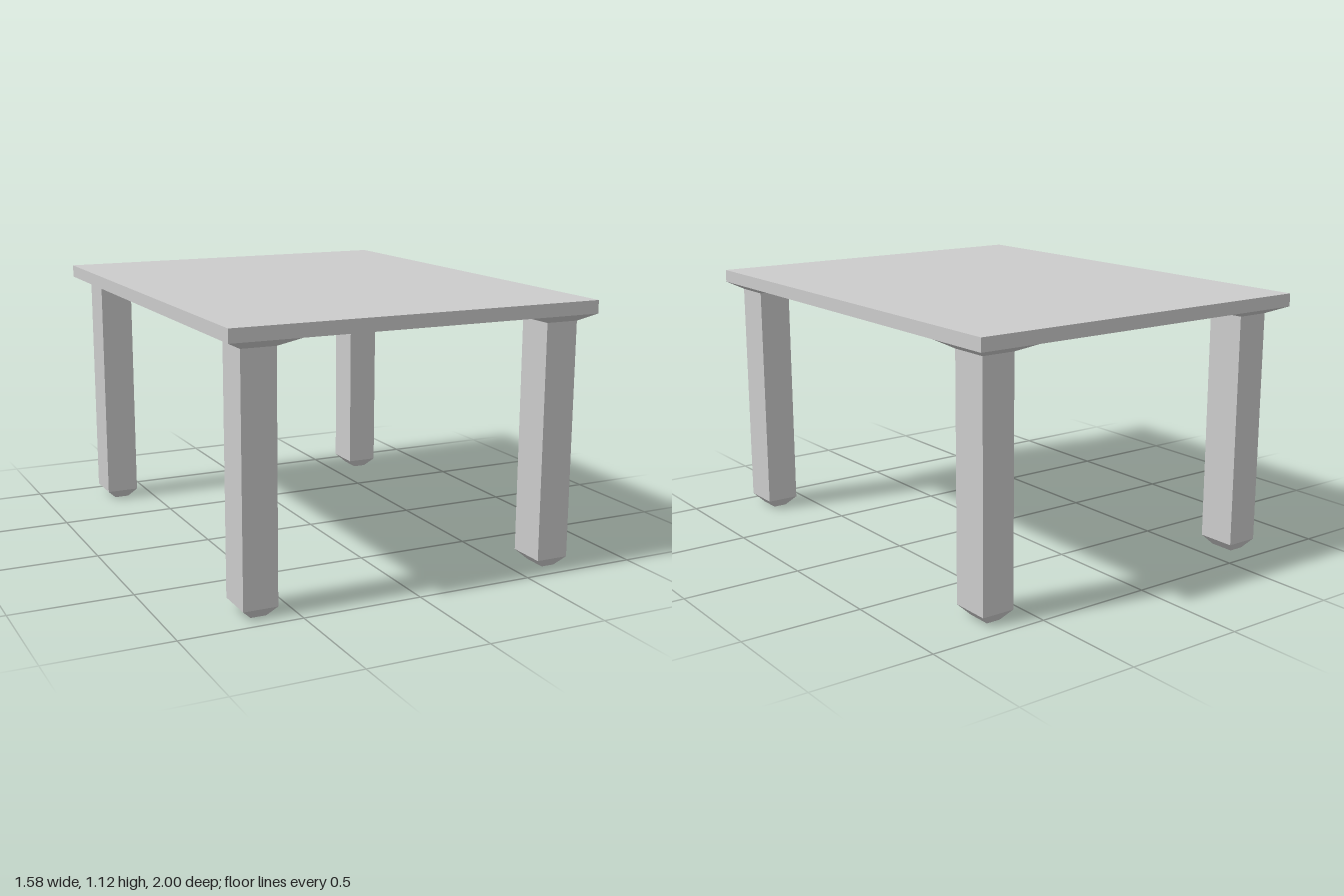
import * as THREE from 'three';

const material = new THREE.MeshStandardMaterial({ color: 0xcccccc, flatShading: true });

// Ring heights of a leg: floor, top of foot bevel, top of shaft, underside of the table top
const LEVELS = [0, 0.04, 1.03, 1.062];

// Extents [min, max] at each level, from the foot up to the flared bracket
const LEFT_X = [[0.629, 0.688], [0.586, 0.727], [0.586, 0.727], [0.527, 0.788]];
const RIGHT_X = [[-0.68, -0.616], [-0.722, -0.58], [-0.722, -0.58], [-0.788, -0.5]];
const FRONT_Z = [[0.807, 0.914], [0.777, 0.945], [0.777, 0.945], [0.71, 1]];
const BACK_Z = [[-0.897, -0.79], [-0.926, -0.758], [-0.926, -0.758], [-1, -0.707]];

// Square leg: a box with three height segments, its rings moved to the extents
function makeLeg(name, xs, zs) {
  const box = new THREE.BoxGeometry(1, 3, 1, 1, 3, 1);
  const pos = box.attributes.position;
  for (let i = 0; i < pos.count; i++) {
    const level = Math.round(pos.getY(i) + 1.5);
    pos.setXYZ(
      i,
      xs[level][pos.getX(i) > 0 ? 1 : 0],
      LEVELS[level],
      zs[level][pos.getZ(i) > 0 ? 1 : 0]
    );
  }
  const geometry = box.toNonIndexed();
  geometry.computeVertexNormals();
  const leg = new THREE.Mesh(geometry, material);
  leg.name = name;
  return leg;
}

export function createModel() {
  const table = new THREE.Group();
  table.name = 'table';

  // Flat slab top
  const thickness = 0.054;
  const top = new THREE.Mesh(new THREE.BoxGeometry(1.576, thickness, 2), material);
  top.name = 'tableTop';
  top.position.y = LEVELS[3] + thickness / 2;
  table.add(top);

  // Four legs with bevelled feet and flared brackets
  for (const [side, xs] of [['Left', LEFT_X], ['Right', RIGHT_X]]) {
    table.add(makeLeg(`front${side}Leg`, xs, FRONT_Z));
    table.add(makeLeg(`back${side}Leg`, xs, BACK_Z));
  }
  return table;
}
